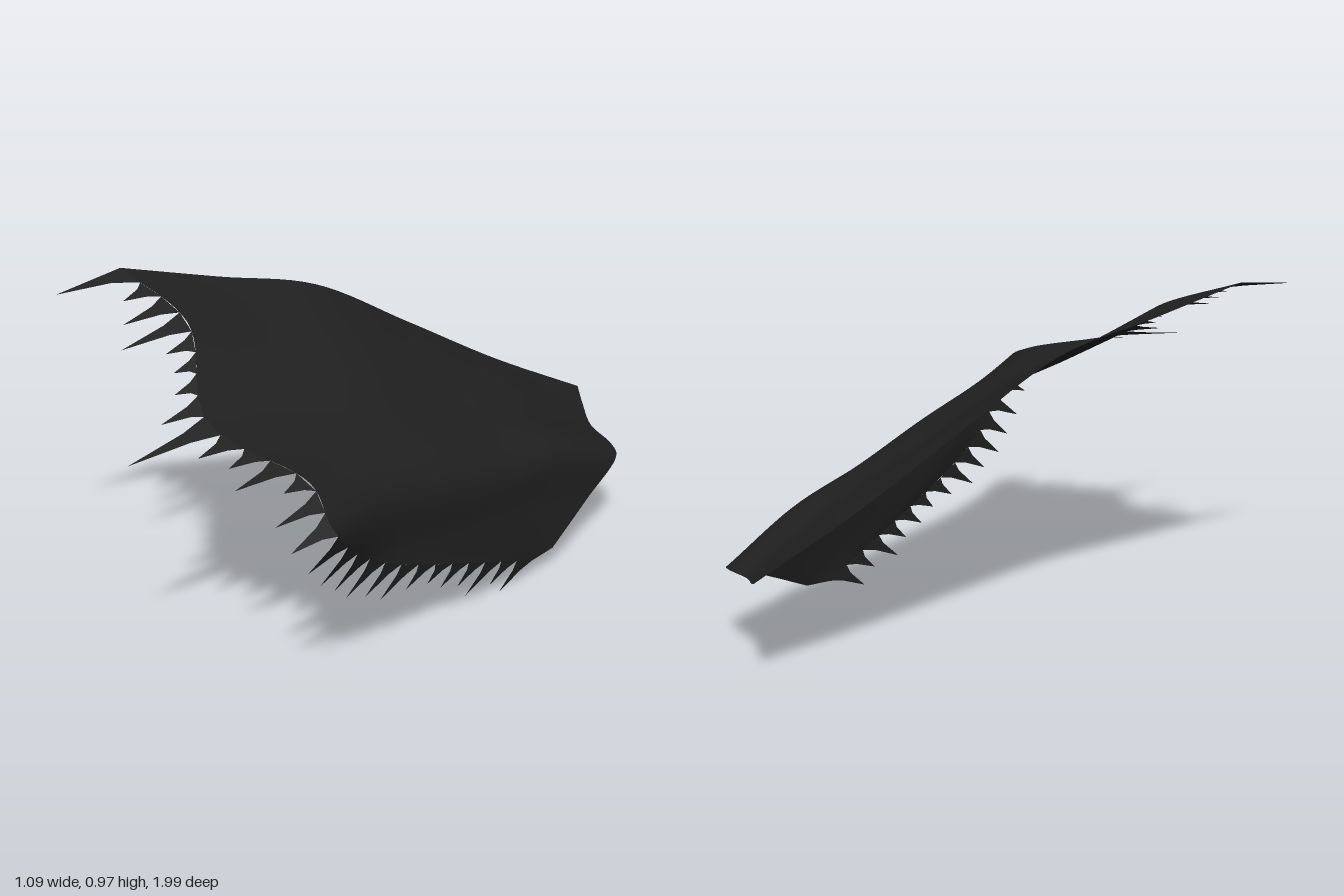
import * as THREE from 'three';

// Lengthwise guide lines, each running from the collar to the hem
const guides = [
  // free left edge
  [[-0.18, 0.32, -1], [-0.254, 0.475, -0.686], [-0.328, 0.655, -0.372], [-0.402, 0.83, -0.058], [-0.476, 0.905, 0.256], [-0.55, 0.98, 0.56]],
  // main panel
  [[-0.1, 0.29, -0.945], [-0.13, 0.445, -0.63], [-0.15, 0.585, -0.31], [-0.19, 0.73, 0], [-0.23, 0.8, 0.27], [-0.27, 0.88, 0.53]],
  [[0, 0.267, -0.88], [0.02, 0.41, -0.55], [0.02, 0.51, -0.23], [0.02, 0.62, 0.08], [0.03, 0.67, 0.4], [0.06, 0.71, 0.71]],
  // rounded fold
  [[0.13, 0.252, -0.84], [0.18, 0.37, -0.55], [0.24, 0.425, -0.25], [0.29, 0.5, 0.05], [0.34, 0.56, 0.34], [0.4, 0.62, 0.63]],
  [[0.19, 0.238, -0.8], [0.235, 0.33, -0.53], [0.3, 0.37, -0.23], [0.36, 0.43, 0.08], [0.42, 0.5, 0.38], [0.535, 0.55, 0.67]],
  // hanging flap
  [[0.24, 0.16, -0.62], [0.28, 0.22, -0.38], [0.32, 0.26, -0.16], [0.36, 0.29, 0.06], [0.4, 0.325, 0.27], [0.45, 0.36, 0.46]],
  [[0.29, 0.07, -0.42], [0.292, 0.068, -0.4], [0.294, 0.066, -0.38], [0.296, 0.064, -0.36], [0.298, 0.062, -0.34], [0.3, 0.06, -0.32]],
].map((line) => new THREE.CatmullRomCurve3(line.map((p) => new THREE.Vector3(...p))));

// Lengths of the torn points along the hem, from the free edge to the end of the flap
const tatterLengths = [
  0.23, 0.1, 0.17, 0.23, 0.1, 0.08, 0.08, 0.14, 0.29, 0.12, 0.1, 0.17, 0.08, 0.16, 0.15,
  0.14, 0.14, 0.13, 0.14, 0.13, 0.14, 0.1, 0.08, 0.1, 0.1, 0.14, 0.1, 0.13,
];

const crossCurve = (t) => new THREE.CatmullRomCurve3(guides.map((g) => g.getPoint(t)));

function makeGeometry(points, index) {
  const geometry = new THREE.BufferGeometry().setFromPoints(points);
  geometry.setIndex(index);
  geometry.computeVertexNormals();
  return geometry;
}

// Smooth sheet swept across the guide lines
function sheetGeometry(rows = 40, columns = 60) {
  const points = [], index = [];
  for (let r = 0; r <= rows; r++) {
    const curve = crossCurve(r / rows);
    for (let c = 0; c <= columns; c++) {
      points.push(curve.getPoint(c / columns));
      if (r === rows || c === columns) continue;
      const a = r * (columns + 1) + c, b = a + columns + 1;
      index.push(a, b, a + 1, a + 1, b, b + 1);
    }
  }
  return makeGeometry(points, index);
}

// Pointed tatters with hollow sides, continuing the sheet past the hem
function tatterGeometry() {
  const hem = crossCurve(1), points = [], index = [];
  const n = tatterLengths.length;
  const panelDirection = new THREE.Vector3(0, -0.14, 0.99);
  const flapDirection = new THREE.Vector3(0.06, -0.5, 0.86);
  tatterLengths.forEach((length, i) => {
    const left = hem.getPointAt(i / n), right = hem.getPointAt((i + 1) / n);
    const lean = i === 0 ? 0 : 0.5; // the first point follows the free edge
    const middle = left.clone().lerp(right, lean);
    const blend = THREE.MathUtils.smoothstep(i, 12, 17);
    const direction = panelDirection.clone().lerp(flapDirection, blend).normalize();
    const tip = middle.clone().addScaledVector(direction, length);
    const waist = (end) => middle.clone().lerp(end, 0.5).addScaledVector(direction, length * 0.3);
    const k = points.length;
    points.push(left, right, waist(left), waist(right), tip);
    index.push(k, k + 2, k + 1, k + 1, k + 2, k + 3, k + 2, k + 4, k + 3);
  });
  return makeGeometry(points, index);
}

export function createModel() {
  const model = new THREE.Group();
  model.name = 'tatteredCape';
  const blackCloth = new THREE.MeshStandardMaterial({ color: 0x202020, side: THREE.DoubleSide });
  blackCloth.name = 'blackCloth';

  const sheet = new THREE.Mesh(sheetGeometry(), blackCloth);
  sheet.name = 'clothSheet';
  const tatters = new THREE.Mesh(tatterGeometry(), blackCloth);
  tatters.name = 'hemTatters';
  model.add(sheet, tatters);
  return model;
}
